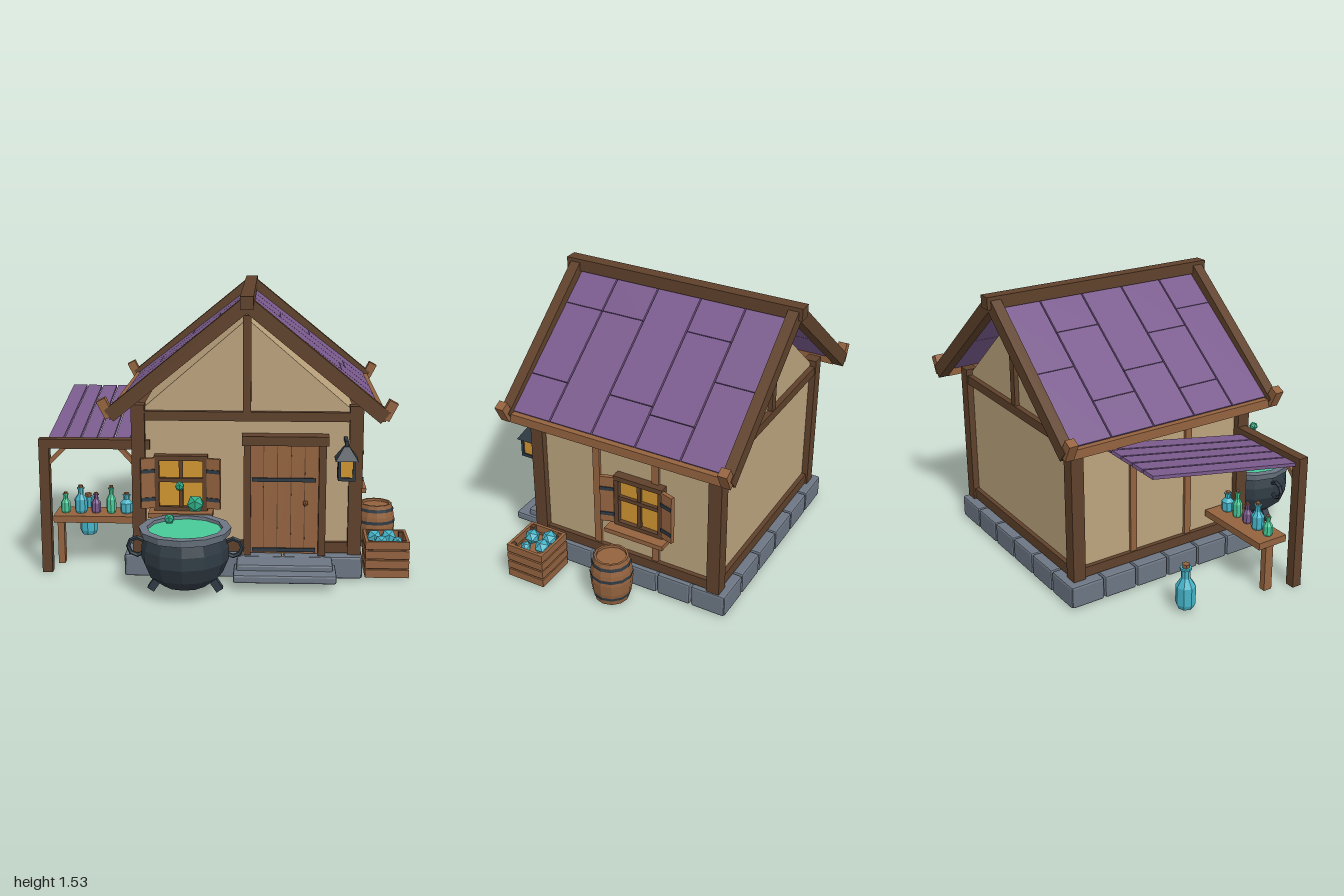
import * as THREE from 'three';
import { RoundedBoxGeometry } from 'three/addons/geometries/RoundedBoxGeometry.js';

const M = {};
for (const [name, hex] of Object.entries({
  darkWood: 0x5f412b, warmWood: 0x94633f, plaster: 0xbca47e, stone: 0x6c7683, iron: 0x2f3a43,
  purple: 0x7a5b8d, amber: 0xd09530, green: 0x48ca98, bubbleGreen: 0x30ac86, cyan: 0x46b4c8,
})) {
  M[name] = new THREE.MeshStandardMaterial({ color: hex });
  M[name].name = name;
}

// Adds a faceted mesh
function add(parent, name, geo, mat, x = 0, y = 0, z = 0) {
  const g = geo.index ? geo.toNonIndexed() : geo;
  g.computeVertexNormals();
  const mesh = new THREE.Mesh(g, mat);
  mesh.name = name;
  mesh.position.set(x, y, z);
  parent.add(mesh);
  return mesh;
}
// Box given by its min and max on each axis
function box(parent, name, mat, x0, x1, y0, y1, z0, z1) {
  return add(parent, name, new THREE.BoxGeometry(x1 - x0, y1 - y0, z1 - z0), mat, (x0 + x1) / 2, (y0 + y1) / 2, (z0 + z1) / 2);
}
function block(parent, name, mat, x0, x1, y0, y1, z0, z1) {
  return add(parent, name, new RoundedBoxGeometry(x1 - x0, y1 - y0, z1 - z0, 1, 0.012), mat, (x0 + x1) / 2, (y0 + y1) / 2, (z0 + z1) / 2);
}
// Sloping box in the xy plane between two points
function beam(parent, name, mat, ax, ay, bx, by, thick, z, depth) {
  const m = add(parent, name, new THREE.BoxGeometry(Math.hypot(bx - ax, by - ay), thick, depth), mat, (ax + bx) / 2, (ay + by) / 2, z);
  m.rotation.z = Math.atan2(by - ay, bx - ax);
  return m;
}
const lathe = (pts, n) => new THREE.LatheGeometry(pts.map(p => new THREE.Vector2(p[0], p[1])), n);
function group(parent, name, x = 0, y = 0, z = 0) {
  const g = new THREE.Group();
  g.name = name;
  g.position.set(x, y, z);
  parent.add(g);
  return g;
}

const CX = 0.12; // ridge line of the hut

function walls(root) {
  const g = group(root, 'hut');
  const s = new THREE.Shape();
  [[-0.46, 0.1], [0.7, 0.1], [0.7, 0.9], [CX, 1.4], [-0.46, 0.9]].forEach((p, i) => i ? s.lineTo(...p) : s.moveTo(...p));
  add(g, 'plasterWalls', new THREE.ExtrudeGeometry(s, { depth: 1.05, bevelEnabled: false }), M.plaster, 0, 0, -0.715);
  // Foundation ring
  for (let i = 0; i < 6; i++) {
    const x = -0.54 + i * 0.2142, z = -0.79 + i * 0.2;
    for (const z0 of [0.27, -0.79]) block(g, 'foundationStone', M.stone, x + 0.004, x + 0.21, 0.005, 0.13, z0, z0 + 0.14);
    for (const x0 of [-0.54, 0.605]) block(g, 'foundationStone', M.stone, x0, x0 + 0.14, 0.005, 0.13, z + 0.004, z + 0.196);
  }
  // Corner posts, sills and top plates
  for (const x of [-0.46, 0.7]) {
    for (const z of [0.335, -0.715]) box(g, 'cornerPost', M.darkWood, x - 0.036, x + 0.036, 0.045, 0.945, z - 0.036, z + 0.036);
    box(g, 'sideSill', M.darkWood, x - 0.025, x + 0.025, 0.135, 0.19, -0.7, 0.32);
    box(g, 'sidePlate', M.darkWood, x - 0.025, x + 0.025, 0.86, 0.91, -0.7, 0.32);
    for (const z of [-0.017, -0.367]) box(g, 'sideStud', M.warmWood, x - 0.015, x + 0.015, 0.19, 0.87, z - 0.02, z + 0.02);
  }
  for (const z of [0.335, -0.715]) {
    box(g, 'gableSill', M.darkWood, -0.45, 0.69, 0.135, 0.195, z - 0.025, z + 0.025);
    box(g, 'gablePlate', M.darkWood, -0.47, 0.71, 0.86, 0.91, z - 0.03, z + 0.03);
    box(g, 'kingPost', M.darkWood, 0.098, 0.142, 0.9, 1.42, z - 0.025, z + 0.025);
  }
}

function roof(root) {
  const g = group(root, 'roof');
  const rowEdges = [0.415, 0.187, -0.062, -0.313, -0.565, -0.797];
  const seams = { 1: [[0.24, 0.74], [0.24], [0.74], [0.24, 0.79], [0.5]], '-1': [[0.25], [0.38, 0.8], [0.6], [0.25, 0.75], [0.5]] };
  for (const s of [1, -1]) {
    const at = t => [CX + s * 0.692 * t, 1.455 - 0.53 * t];
    for (let r = 0; r < 5; r++) {
      const cuts = [0, ...seams[s][r], 1], z = (rowEdges[r] + rowEdges[r + 1]) / 2;
      for (let i = 0; i + 1 < cuts.length; i++)
        beam(g, 'roofPlank', M.purple, ...at(cuts[i] + (i ? 0.004 : 0)), ...at(cuts[i + 1]), 0.022, z, rowEdges[r] - rowEdges[r + 1] - 0.008);
      if (r) {
        const [a, b] = [at(0), at(0.99)];
        beam(g, 'batten', M.warmWood, a[0], a[1] - 0.016, b[0], b[1] - 0.016, 0.014, rowEdges[r], 0.03);
      }
    }
    // Eave board with upturned ends, and sloping gable boards
    box(g, 'eaveBoard', M.warmWood, CX + s * 0.705 - 0.02, CX + s * 0.705 + 0.02, 0.876, 0.925, -0.8, 0.42);
    for (const z of [0.438, -0.828]) {
      beam(g, 'gableBoard', M.darkWood, CX, 1.49, CX + s * 0.719, 0.903, 0.075, z, 0.058);
      beam(g, 'eaveEnd', M.warmWood, CX + s * 0.715, 0.895, CX + s * 0.762, 0.987, 0.05, z, 0.05);
    }
  }
  box(g, 'ridgeBeam', M.darkWood, 0.085, 0.155, 1.463, 1.53, -0.877, 0.49);
}

function door(root) {
  const g = group(root, 'door');
  for (let i = 0; i < 5; i++) box(g, 'doorPlank', M.warmWood, 0.14 + i * 0.073, 0.209 + i * 0.073, 0.135, 0.74, 0.33, 0.372);
  box(g, 'doorBacking', M.darkWood, 0.14, 0.505, 0.135, 0.74, 0.33, 0.366);
  for (const x of [0.105, 0.505]) box(g, 'doorJamb', M.darkWood, x, x + 0.038, 0.13, 0.745, 0.32, 0.4);
  box(g, 'doorLintel', M.darkWood, 0.095, 0.555, 0.74, 0.79, 0.32, 0.42);
  for (const y of [0.545, 0.155]) box(g, 'doorStrap', M.iron, 0.15, 0.49, y - 0.01, y + 0.01, 0.37, 0.382);
  add(g, 'doorKnob', new THREE.IcosahedronGeometry(0.016, 0), M.warmWood, 0.435, 0.42, 0.385);
  block(g, 'upperStep', M.stone, 0.07, 0.58, 0.08, 0.125, 0.38, 0.54);
  block(g, 'lowerStep', M.stone, 0.055, 0.597, 0.045, 0.092, 0.42, 0.613);
}

// Shuttered window, facing +z from its wall
function shutterWindow(root, x, z, turn) {
  const g = group(root, 'window', x, 0, z);
  g.rotation.y = turn;
  box(g, 'glass', M.amber, -0.13, 0.13, 0.38, 0.65, 0, 0.02);
  for (const s of [-1, 1]) {
    box(g, 'windowFrame', M.darkWood, s * 0.13 - 0.013, s * 0.13 + 0.013, 0.375, 0.66, 0, 0.045);
    const leaf = group(g, 'shutter', s * 0.143, 0, 0.04);
    leaf.rotation.y = -s * 0.3;
    box(leaf, 'shutterBoard', M.warmWood, s * 0.037 - 0.037, s * 0.037 + 0.037, 0.385, 0.66, -0.01, 0.012);
    for (const y of [0.435, 0.59]) box(leaf, 'shutterStrap', M.iron, s * 0.037 - 0.038, s * 0.037 + 0.038, y - 0.01, y + 0.01, 0.01, 0.017);
  }
  box(g, 'windowHead', M.darkWood, -0.143, 0.143, 0.645, 0.672, 0, 0.05);
  box(g, 'mullion', M.darkWood, -0.011, 0.011, 0.38, 0.65, 0.01, 0.035);
  box(g, 'transom', M.darkWood, -0.13, 0.13, 0.525, 0.547, 0.01, 0.04);
  box(g, 'windowFoot', M.darkWood, -0.143, 0.143, 0.365, 0.39, 0, 0.045);
  box(g, 'windowSill', M.warmWood, -0.172, 0.172, 0.342, 0.368, 0, 0.1);
}

function lantern(root) {
  const g = group(root, 'lantern', 0.645, 0, 0.43);
  box(g, 'lanternGlass', M.amber, -0.036, 0.036, 0.585, 0.69, -0.036, 0.036);
  for (const x of [-0.038, 0.038]) for (const z of [-0.038, 0.038])
    box(g, 'lanternBar', M.iron, x - 0.007, x + 0.007, 0.575, 0.69, z - 0.007, z + 0.007);
  box(g, 'lanternBase', M.iron, -0.045, 0.045, 0.568, 0.585, -0.045, 0.045);
  add(g, 'lanternRoof', new THREE.CylinderGeometry(0.02, 0.085, 0.07, 4).rotateY(Math.PI / 4), M.iron, 0, 0.71, 0);
  box(g, 'lanternHook', M.iron, -0.009, 0.009, 0.74, 0.775, -0.009, 0.009);
  box(g, 'lanternArm', M.iron, -0.009, 0.009, 0.755, 0.775, -0.1, 0);
}

function cauldron(root) {
  const g = group(root, 'cauldron', -0.19, 0, 0.645);
  add(g, 'pot', lathe([[0, 0.055], [0.12, 0.06], [0.195, 0.12], [0.228, 0.2], [0.225, 0.265], [0.205, 0.325]], 12), M.iron);
  add(g, 'potRim', lathe([[0.205, 0.32], [0.232, 0.325], [0.24, 0.362], [0.196, 0.362], [0.19, 0.32]], 12), M.stone);
  add(g, 'brew', new THREE.CylinderGeometry(0.197, 0.197, 0.02, 12), M.green, 0, 0.335, 0);
  for (const s of [-1, 1]) {
    add(g, 'potHandle', new THREE.TorusGeometry(0.047, 0.012, 5, 8), M.iron, s * 0.248, 0.255, 0);
    beam(g, 'potLeg', M.iron, s * 0.13, 0.1, s * 0.18, 0.025, 0.04, 0, 0.04);
  }
  for (const [x, y, r] of [[-0.025, 0.578, 0.026], [0.055, 0.485, 0.048], [-0.08, 0.403, 0.029]])
    add(g, 'bubble', new THREE.IcosahedronGeometry(r, 0), M.bubbleGreen, x, y, 0);
}

function bottle(root, mat, x, y, z, r, h) {
  const g = group(root, 'bottle', x, y, z);
  add(g, 'flask', lathe([[0, 0], [r * 0.8, 0], [r, h * 0.1], [r, h * 0.5], [r * 0.45, h * 0.68], [r * 0.45, h * 0.86], [r * 0.6, h * 0.87], [r * 0.6, h * 0.92], [0, h * 0.92]], 8), mat);
  add(g, 'cork', new THREE.CylinderGeometry(r * 0.4, r * 0.35, h * 0.14, 6), M.warmWood, 0, h * 0.93, 0);
}

function leanTo(root) {
  const g = group(root, 'leanTo');
  box(g, 'awningPost', M.darkWood, -1, -0.945, 0, 0.71, 0.298, 0.352);
  box(g, 'awningBeam', M.darkWood, -1, -0.4, 0.698, 0.75, 0.298, 0.352);
  beam(g, 'brace', M.warmWood, -0.955, 0.61, -0.86, 0.705, 0.025, 0.325, 0.03);
  beam(g, 'brace', M.warmWood, -0.48, 0.61, -0.565, 0.705, 0.025, 0.325, 0.03);
  for (let i = 0; i < 5; i++) {
    const slat = add(g, 'awningSlat', new THREE.BoxGeometry(0.082, 0.018, 0.9), M.purple, -0.928 + i * 0.0915, 0.79, -0.145);
    slat.rotation.x = 0.18;
  }
  box(g, 'shelf', M.warmWood, -0.945, -0.48, 0.262, 0.3, 0.1, 0.28);
  box(g, 'shelfLeg', M.warmWood, -0.94, -0.903, 0, 0.265, 0.15, 0.2);
  ['green', 'cyan', 'purple', 'green', 'cyan'].forEach((c, i) =>
    bottle(g, M[c], -0.89 + i * 0.085, 0.3, 0.2, i % 3 ? (i === 2 ? 0.027 : 0.035) : 0.027, i === 1 ? 0.155 : i === 3 ? 0.155 : 0.115));
  bottle(g, M.cyan, -0.85, 0.018, -0.3, 0.053, 0.25);
}

function barrel(root) {
  const g = group(root, 'barrel', 0.863, 0, -0.19);
  add(g, 'staves', lathe([[0, 0.005], [0.092, 0.005], [0.108, 0.075], [0.113, 0.135], [0.108, 0.195], [0.092, 0.265], [0.08, 0.265], [0.08, 0.25], [0, 0.25]], 12), M.warmWood);
  for (const y of [0.045, 0.165, 0.235])
    add(g, 'hoop', new THREE.CylinderGeometry(y > 0.2 ? 0.102 : 0.114 - (y < 0.1 ? 0.009 : 0), y < 0.1 ? 0.102 : y > 0.2 ? 0.106 : 0.115, 0.018, 12, 1, true), M.iron, 0, y, 0);
}

function crate(root) {
  const g = group(root, 'crate', 0.88, 0, 0.27);
  for (let i = 0; i < 4; i++) {
    const y = 0.005 + i * 0.053;
    for (const s of [-1, 1]) {
      box(g, 'crateSlat', M.warmWood, -0.118, 0.118, y, y + 0.044, s * 0.104 - 0.008, s * 0.104 + 0.008);
      box(g, 'crateSlat', M.warmWood, s * 0.11 - 0.008, s * 0.11 + 0.008, y, y + 0.044, -0.1, 0.1);
    }
  }
  for (const x of [-0.09, 0.09]) for (const z of [-0.085, 0.085])
    box(g, 'cratePost', M.darkWood, x - 0.012, x + 0.012, 0.005, 0.205, z - 0.012, z + 0.012);
  box(g, 'crateFloor', M.warmWood, -0.11, 0.11, 0.005, 0.15, -0.096, 0.096);
  for (const [x, z, r] of [[0.02, -0.05, 0.045], [-0.03, 0.05, 0.042], [-0.06, -0.04, 0.045], [0.06, 0.03, 0.03]])
    add(g, 'crystal', new THREE.IcosahedronGeometry(r, 0), M.cyan, x, 0.185, z);
}

export function createModel() {
  const root = new THREE.Group();
  root.name = 'potionHut';
  walls(root);
  roof(root);
  door(root);
  shutterWindow(root, -0.232, 0.335, 0);
  shutterWindow(root, 0.7, -0.283, Math.PI / 2);
  lantern(root);
  cauldron(root);
  leanTo(root);
  barrel(root);
  crate(root);
  return root;
}
